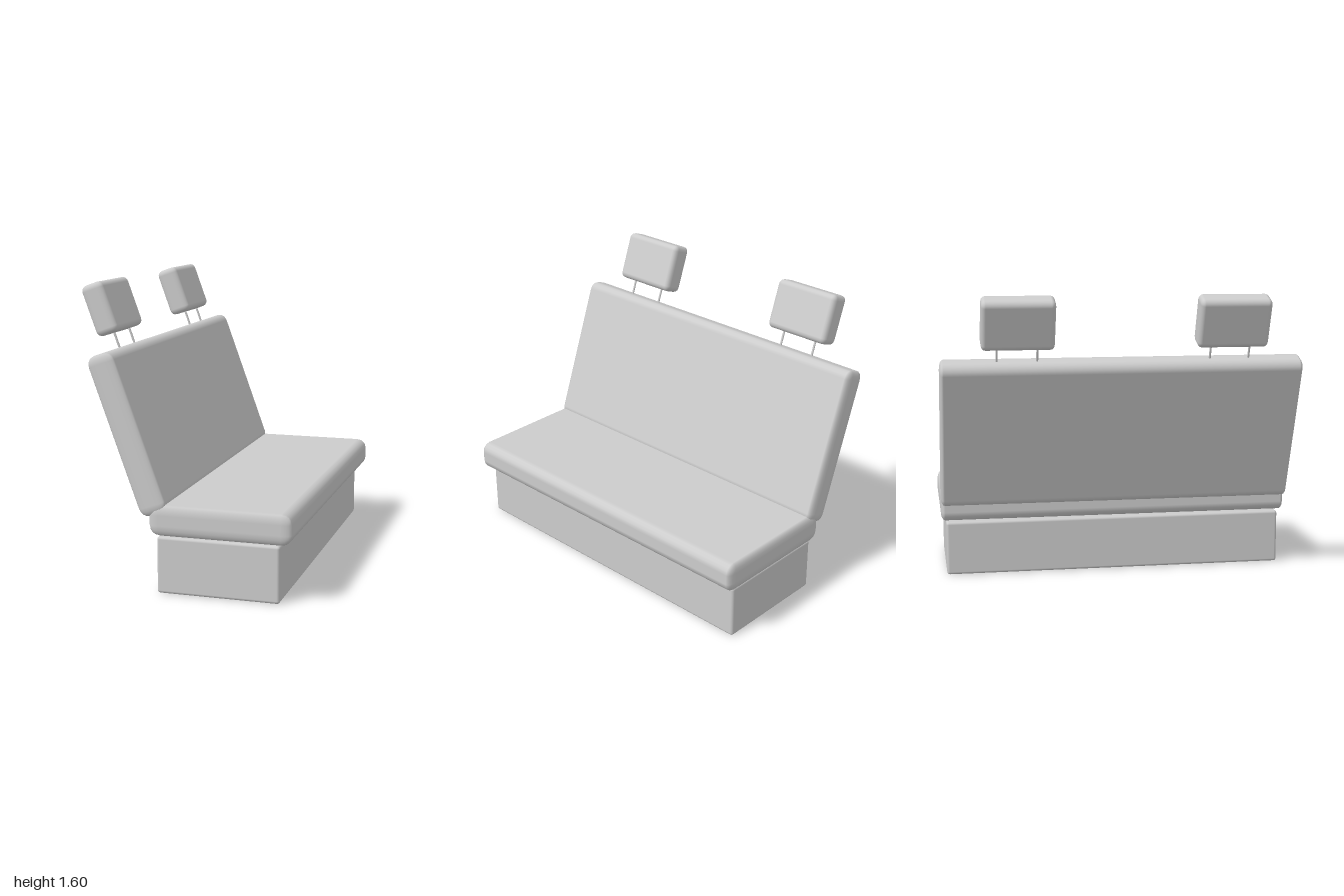
import * as THREE from 'three';
import { RoundedBoxGeometry } from 'three/addons/geometries/RoundedBoxGeometry.js';

const grey = new THREE.MeshStandardMaterial({ color: 0xcccccc });
grey.name = 'light grey';

// Padded block: edge radius r across the profile, rz towards the two ends
function pad(name, w, h, d, r, rz, x, y, z = 0) {
  const k = rz / r;
  const geometry = new RoundedBoxGeometry(w, h, d / k, 2, r);
  geometry.scale(1, 1, k);
  const mesh = new THREE.Mesh(geometry, grey);
  mesh.name = name;
  mesh.position.set(x, y, z);
  return mesh;
}

export function createModel() {
  const bench = new THREE.Group();
  bench.name = 'benchSeat';

  // Plinth and seat cushion
  bench.add(pad('base', 0.66, 0.305, 1.94, 0.015, 0.015, 0.203, 0.1525));
  bench.add(pad('seatCushion', 0.762, 0.165, 2, 0.055, 0.025, 0.219, 0.3975));

  // Everything above leans back together
  const back = new THREE.Group();
  back.name = 'recliningBack';
  back.rotation.z = THREE.MathUtils.degToRad(20);
  back.add(pad('backrest', 0.15, 0.875, 2, 0.05, 0.022, 0.023, 0.882));

  // Two headrests, each on a pair of thin posts
  const postGeometry = new THREE.CylinderGeometry(0.006, 0.006, 0.19, 10);
  for (const side of [1, -1]) {
    const headrest = new THREE.Group();
    headrest.name = side > 0 ? 'frontHeadrest' : 'rearHeadrest';
    headrest.position.z = side * 0.585;
    headrest.add(pad('headrestPad', 0.126, 0.28, 0.395, 0.032, 0.025, 0.022, 1.544));
    for (const s of [1, -1]) {
      const post = new THREE.Mesh(postGeometry, grey);
      post.name = 'headrestPost';
      post.position.set(0.026, 1.36, s * 0.109);
      headrest.add(post);
    }
    back.add(headrest);
  }
  bench.add(back);
  return bench;
}
